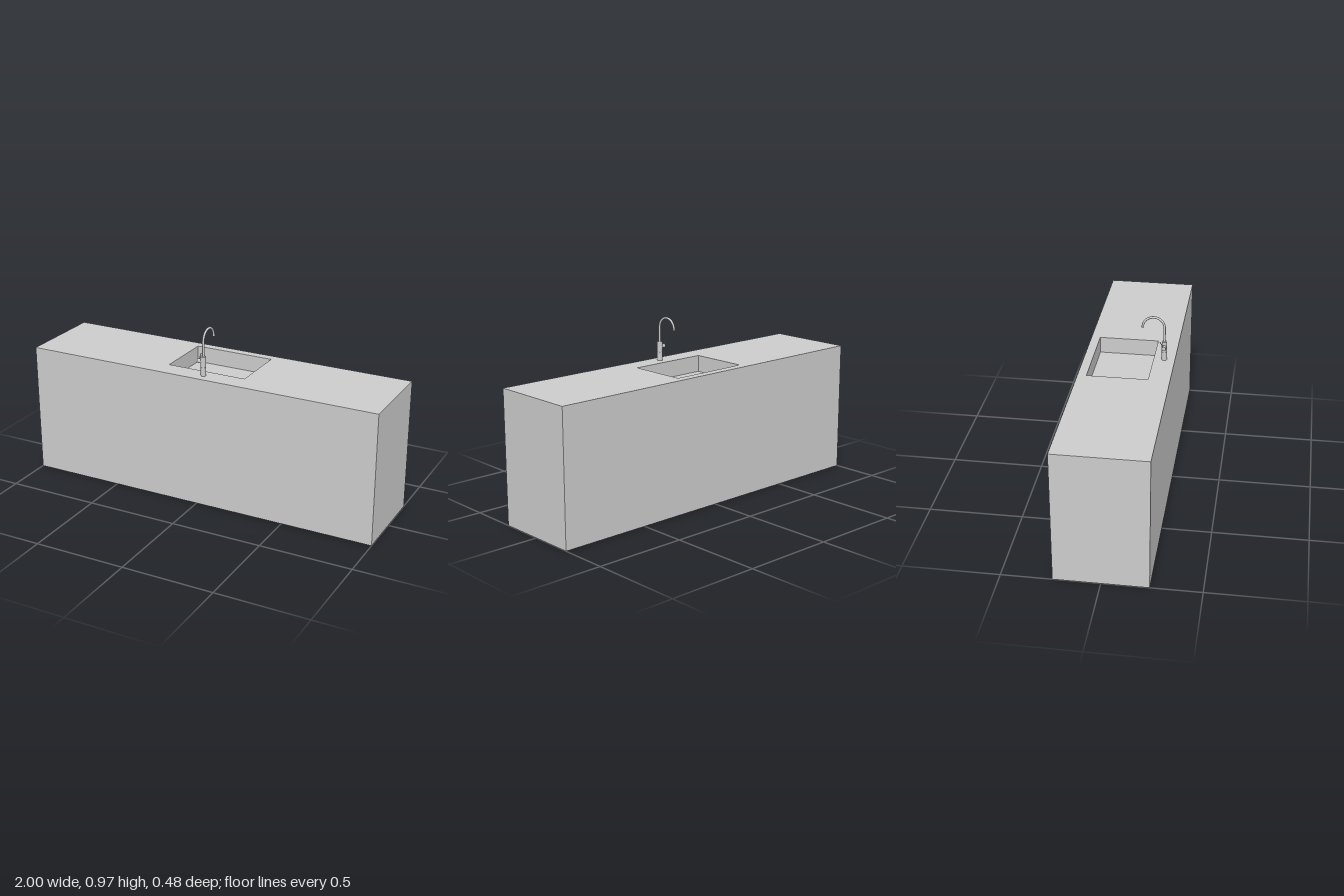
import * as THREE from 'three';

const grey = new THREE.MeshStandardMaterial({ color: 0xcccccc });

function add(parent, name, geometry, x = 0, y = 0, z = 0) {
  const mesh = new THREE.Mesh(geometry, grey);
  mesh.name = name;
  mesh.position.set(x, y, z);
  parent.add(mesh);
  return mesh;
}

// Box without its top face; inward = true turns the faces to the inside
function openBox(w, h, d, inward = false) {
  const g = new THREE.BoxGeometry(w, h, d);
  const index = Array.from(g.index.array).filter((_, i) => i < 12 || i >= 18);
  g.setIndex(inward ? index.reverse() : index);
  if (inward) g.attributes.normal.array.forEach((n, i, a) => { a[i] = -n; });
  return g;
}

export function createModel() {
  const model = new THREE.Group();
  model.name = 'kitchenIsland';

  const W = 2, H = 0.72, D = 0.48;
  const sink = { x0: -0.22, x1: 0.225, z0: -0.193, z1: 0.127, depth: 0.09 };
  const sinkW = sink.x1 - sink.x0, sinkD = sink.z1 - sink.z0;

  // Cabinet body
  add(model, 'cabinet', openBox(W, H, D), 0, H / 2, 0);

  // Worktop with the sink cut-out (shape y becomes -z)
  const top = new THREE.Shape([[-1, -1], [1, -1], [1, 1], [-1, 1]]
    .map(([sx, sy]) => new THREE.Vector2(sx * W / 2, sy * D / 2)));
  top.holes.push(new THREE.Path([
    new THREE.Vector2(sink.x0, -sink.z1), new THREE.Vector2(sink.x0, -sink.z0),
    new THREE.Vector2(sink.x1, -sink.z0), new THREE.Vector2(sink.x1, -sink.z1),
  ]));
  add(model, 'worktop', new THREE.ShapeGeometry(top).rotateX(-Math.PI / 2), 0, H, 0);

  // Sunken basin
  add(model, 'sinkBasin', openBox(sinkW, sink.depth, sinkD, true),
    (sink.x0 + sink.x1) / 2, H - sink.depth / 2, (sink.z0 + sink.z1) / 2);

  // Faucet, standing on the front edge and reaching back over the basin
  const faucet = new THREE.Group();
  faucet.name = 'faucet';
  faucet.position.set(0.015, H, 0.183);
  model.add(faucet);

  // Two body cylinders with a thin groove between them
  add(faucet, 'faucetBase', new THREE.CylinderGeometry(0.014, 0.014, 0.047, 32), 0, 0.0235, 0);
  add(faucet, 'faucetGroove', new THREE.CylinderGeometry(0.0125, 0.0125, 0.004, 32), 0, 0.048, 0);
  add(faucet, 'faucetBody', new THREE.CylinderGeometry(0.014, 0.014, 0.056, 32), 0, 0.077, 0);

  // Gooseneck spout: straight rise, half circle, short drop
  const R = 0.0575, rise = 0.183, tube = 0.0062;
  const path = new THREE.CurvePath();
  const points = [];
  for (let i = 0; i <= 32; i++) {
    const a = Math.PI * i / 32;
    points.push(new THREE.Vector3(0, rise + R * Math.sin(a), -R + R * Math.cos(a)));
  }
  const tip = new THREE.Vector3(0, 0.18, -2 * R);
  path.add(new THREE.LineCurve3(new THREE.Vector3(0, 0.1, 0), points[0]));
  path.add(new THREE.CatmullRomCurve3(points));
  path.add(new THREE.LineCurve3(points[32], tip));
  add(faucet, 'spout', new THREE.TubeGeometry(path, 96, tube, 16));
  add(faucet, 'spoutEnd', new THREE.CircleGeometry(tube, 16).rotateX(Math.PI / 2), tip.x, tip.y, tip.z);

  // Side knob with a thin tilted lever
  add(faucet, 'handleKnob',
    new THREE.CylinderGeometry(0.011, 0.011, 0.024, 24).rotateZ(Math.PI / 2), -0.021, 0.077, 0);
  const lever = add(faucet, 'handleLever',
    new THREE.CylinderGeometry(0.0022, 0.0022, 0.04, 12), -0.025, 0.096, -0.0105);
  lever.rotation.x = -0.57;

  return model;
}
